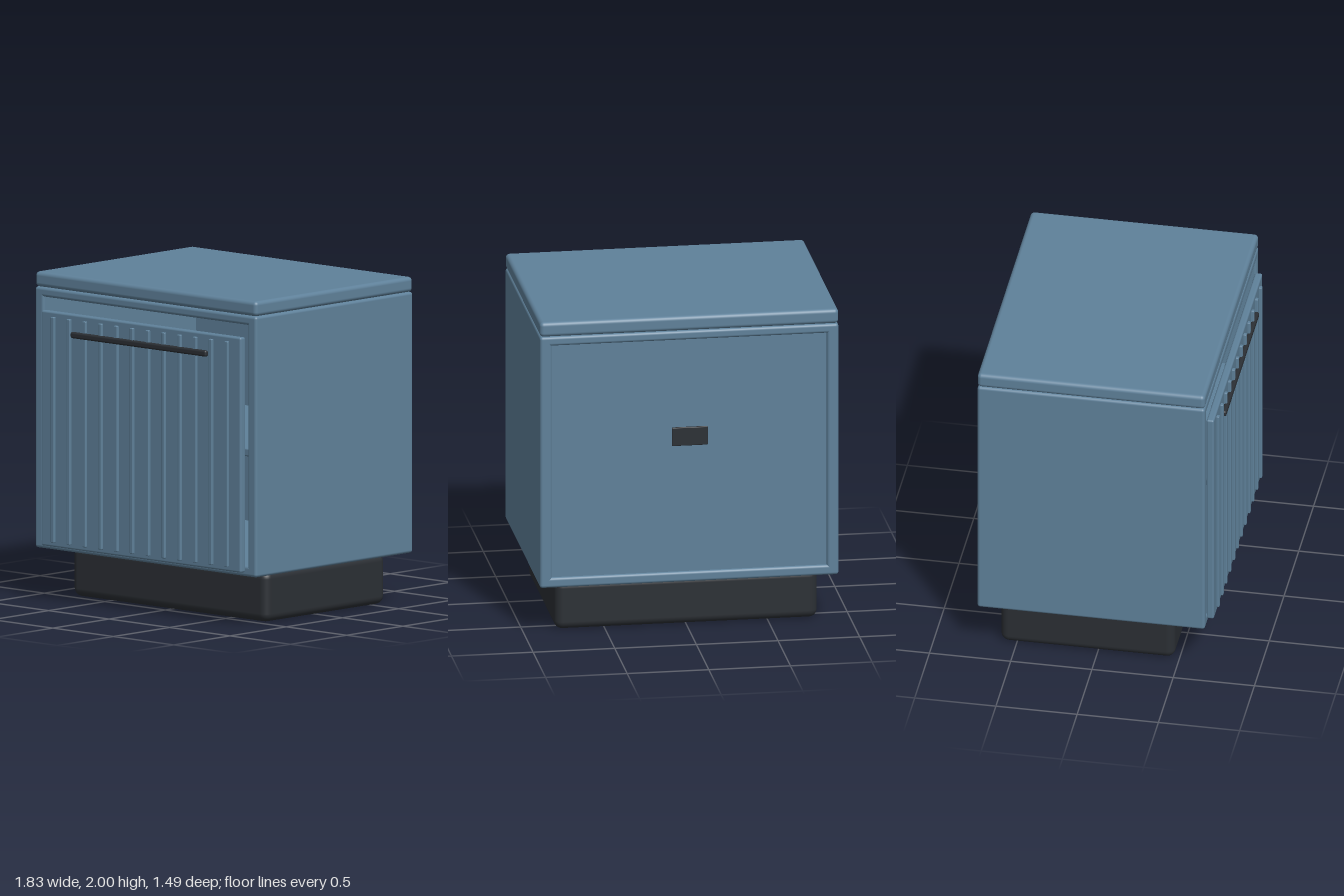
import * as THREE from 'three';
import { RoundedBoxGeometry } from 'three/addons/geometries/RoundedBoxGeometry.js';

export function createModel() {
  const root = new THREE.Group();
  root.name = 'cabinet';
  const blue = new THREE.MeshStandardMaterial({ color: 0x5f819a });
  const dark = new THREE.MeshStandardMaterial({ color: 0x2b2f34 });

  // Rounded box given by its [min, max] extent on each axis
  function box(name, [x0, x1], [y0, y1], [z0, z1], radius, material = blue, parent = root) {
    const geometry = new RoundedBoxGeometry(x1 - x0, y1 - y0, z1 - z0, 4, radius);
    const mesh = new THREE.Mesh(geometry, material);
    mesh.position.set((x0 + x1) / 2, (y0 + y1) / 2, (z0 + z1) / 2);
    mesh.name = name;
    parent.add(mesh);
    return mesh;
  }

  // Plinth
  box('plinth', [-0.805, 0.805], [0, 0.312], [-0.6, 0.47], 0.05, dark);

  // Hollow carcass
  const depth = [-0.722, 0.678];
  box('rightSide', [-0.915, -0.843], [0.31, 1.908], depth, 0.018);
  box('leftSide', [0.843, 0.915], [0.31, 1.908], depth, 0.018);
  box('bottomPanel', [-0.91, 0.91], [0.31, 0.375], depth, 0.018);
  box('topPanel', [-0.91, 0.91], [1.85, 1.908], depth, 0.018);
  box('backPanel', [-0.85, 0.85], [0.36, 1.86], [-0.705, -0.68], 0.004);
  box('shelf', [-0.85, 0.85], [1.03, 1.08], [-0.685, 0.6], 0.01);

  // Worktop
  box('worktop', [-0.915, 0.915], [1.908, 2], depth, 0.025);

  // Ribbed door with bar handle
  const door = new THREE.Group();
  door.name = 'door';
  root.add(door);
  box('doorPanel', [-0.825, 0.825], [0.335, 1.775], [0.672, 0.718], 0.012, blue, door);
  for (let i = 0; i < 12; i++) {
    const x = -0.718 + i * 0.1305;
    box('doorRib', [x - 0.014, x + 0.014], [0.362, 1.745], [0.71, 0.735], 0.006, blue, door);
  }
  box('handle', [-0.56, 0.56], [1.634, 1.672], [0.716, 0.746], 0.012, dark, door);

  // Small plate on the back
  box('backPlate', [-0.11, 0.11], [1.185, 1.302], [-0.746, -0.73], 0.005, dark);

  return root;
}
